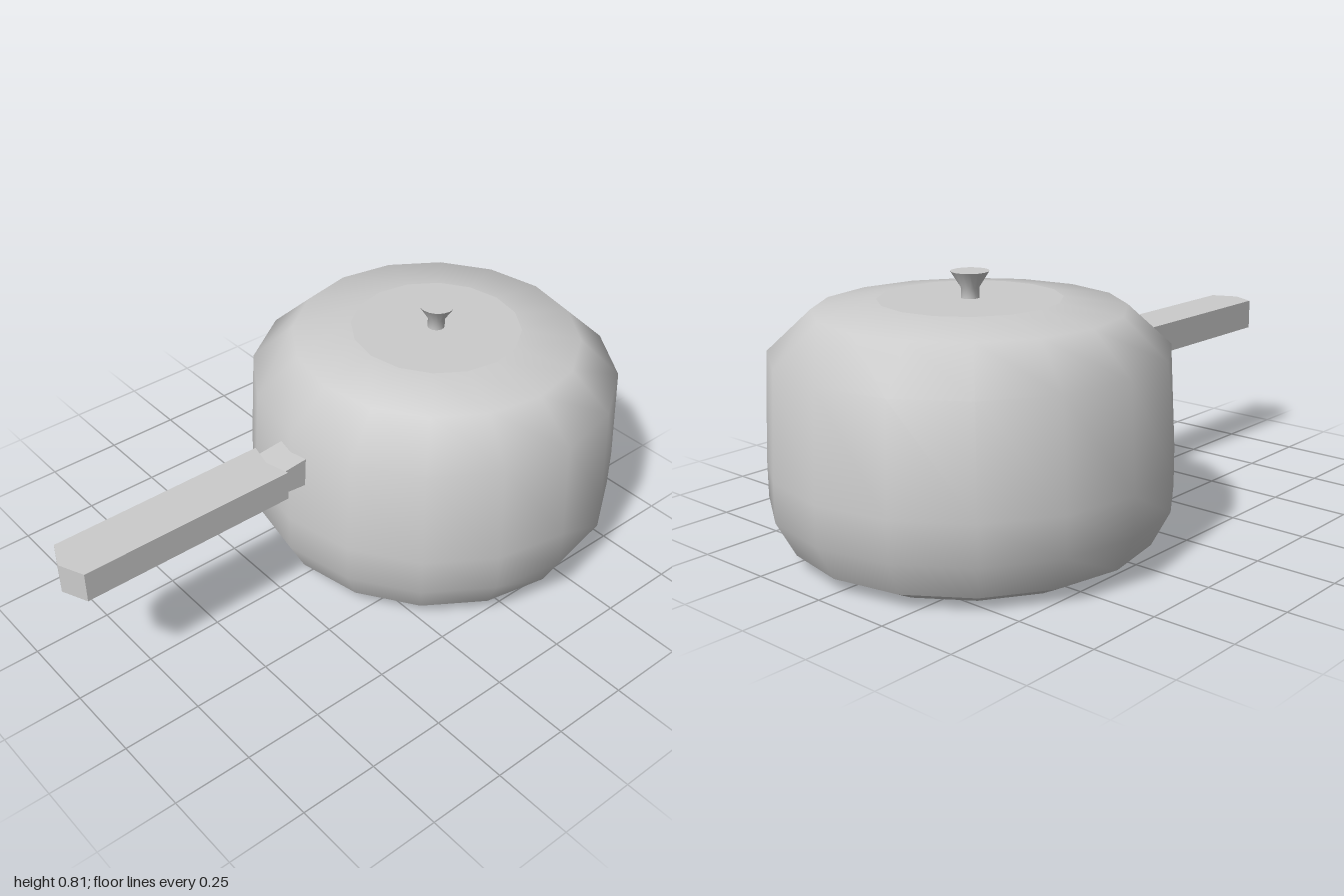
import * as THREE from 'three';

const material = new THREE.MeshStandardMaterial({ color: 0xcccccc });
const SIDES = 16;
const POT_Z = -0.397;

function addMesh(parent, name, geometry) {
  const mesh = new THREE.Mesh(geometry, material);
  mesh.name = name;
  parent.add(mesh);
  return mesh;
}

// Turned surface; separate calls keep a sharp edge between them
function turned(parent, name, profile) {
  const points = profile.map(([r, y]) => new THREE.Vector2(r, y));
  return addMesh(parent, name, new THREE.LatheGeometry(points, SIDES));
}

export function createModel() {
  const model = new THREE.Group();
  model.name = 'saucepan';

  // Pot and lid, turned around one axis
  const pot = new THREE.Group();
  pot.name = 'pot';
  pot.position.z = POT_Z;
  model.add(pot);
  turned(pot, 'base', [[0, 0], [0.465, 0]]);
  turned(pot, 'baseBevel', [[0.465, 0], [0.547, 0.043]]);
  turned(pot, 'wallAndLidRim', [
    [0.547, 0.043], [0.603, 0.15], [0.603, 0.27], [0.587, 0.59], [0.457, 0.71], [0.27, 0.737],
  ]);
  turned(pot, 'lidTop', [[0.27, 0.737], [0, 0.737]]);

  // Knob on the lid
  turned(pot, 'knobStem', [[0.027, 0.735], [0.027, 0.768], [0.057, 0.815]]);
  turned(pot, 'knobTop', [[0.057, 0.815], [0, 0.815]]);

  // Neck, taller where it meets the pot
  const neck = new THREE.BoxGeometry(0.12, 0.076, 0.16);
  const p = neck.attributes.position;
  for (let i = 0; i < p.count; i++) {
    if (p.getZ(i) < 0) p.setY(i, p.getY(i) * 1.4);
  }
  neck.computeVertexNormals();
  addMesh(model, 'handleNeck', neck).position.set(0, 0.477, 0.21);

  // Grip: pointed bar drawn from above, then extruded upwards
  const outline = new THREE.Shape([
    [-0.08, -0.265], [-0.08, -0.965], [0, -1], [0.08, -0.965], [0.08, -0.265], [0, -0.285],
  ].map(([x, y]) => new THREE.Vector2(x, y)));
  const grip = new THREE.ExtrudeGeometry(outline, { depth: 0.098, bevelEnabled: false });
  grip.rotateX(-Math.PI / 2);
  addMesh(model, 'handleGrip', grip).position.y = 0.43;

  return model;
}
